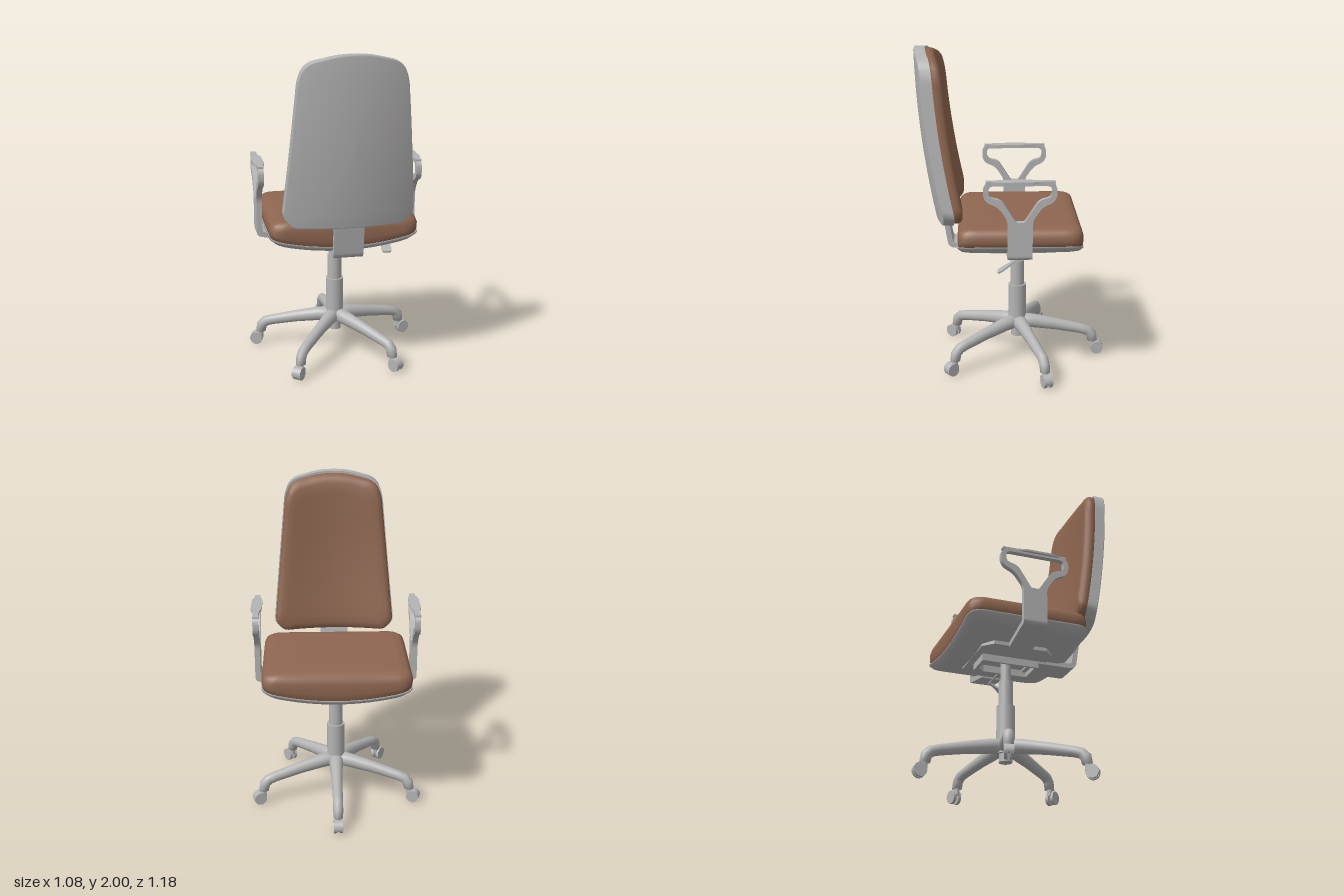
import * as THREE from 'three';

const grey = new THREE.MeshStandardMaterial({ color: 0xb4b4b4 });
grey.name = 'grey plastic';
const brown = new THREE.MeshStandardMaterial({ color: 0x8e6650 });
brown.name = 'brown upholstery';

function add(parent, name, geometry, material = grey) {
  const mesh = new THREE.Mesh(geometry, material);
  mesh.name = name;
  parent.add(mesh);
  return mesh;
}

// Polygon with corners [x, y, cut]; each corner is rounded over its cut length.
function roundedShape(corners, ShapeClass = THREE.Shape) {
  const shape = new ShapeClass();
  const n = corners.length;
  corners.forEach(([x, y, cut = 0], i) => {
    const p = new THREE.Vector2(x, y);
    const toward = (c) => new THREE.Vector2(c[0], c[1]).sub(p).setLength(cut).add(p);
    const a = toward(corners[(i + n - 1) % n]);
    const b = toward(corners[(i + 1) % n]);
    if (i === 0) shape.moveTo(a.x, a.y);
    else shape.lineTo(a.x, a.y);
    if (cut > 0) shape.quadraticCurveTo(x, y, b.x, b.y);
  });
  shape.closePath();
  return shape;
}

const extrude = (shape, depth) =>
  new THREE.ExtrudeGeometry(shape, { depth, bevelEnabled: false, curveSegments: 7 });

// Profile drawn in (z, y), extruded across x and centred on the given x.
const extrudeAcross = (shape, width, x = 0) =>
  extrude(shape, width).rotateY(-Math.PI / 2).translate(x + width / 2, 0, 0);

// Skin over equal rings of points, each ring counterclockwise about the path direction.
function loft(rings) {
  const n = rings[0].length;
  const index = [];
  for (let i = 0; i < rings.length - 1; i++) {
    for (let j = 0; j < n; j++) {
      const a = i * n + j, b = i * n + ((j + 1) % n);
      index.push(a, b, b + n, a, b + n, a + n);
    }
  }
  const geometry = new THREE.BufferGeometry();
  geometry.setAttribute('position', new THREE.Float32BufferAttribute(rings.flat(2), 3));
  geometry.setIndex(index);
  geometry.computeVertexNormals();
  return geometry;
}

function outline(corners, count) {
  return roundedShape(corners).getSpacedPoints(count).slice(0, count);
}

function buildSeat(chair) {
  const w = 0.455, d = 0.375, cz = -0.035, r = 0.085;
  // Drawn in (z, x) so that the rings run counterclockwise about +y.
  const pts = outline([[-d, -w, r], [d, -w, r], [d, w, r], [-d, w, r]], 96);
  // Layers are [scale, height, sag at the centre line].
  const rings = (layers) => layers.map(([s, y, sag]) => pts.map((p) => {
    const x = p.y * s;
    return [x, y - sag * (1 - (x / w) ** 2), cz + p.x * s];
  }));
  add(chair, 'seatShell', loft(rings([
    [0.001, 0.845, 0.065], [0.3, 0.845, 0.065], [0.6, 0.845, 0.065], [0.84, 0.847, 0.065],
    [0.94, 0.856, 0.065], [1, 0.876, 0.065], [1, 0.886, 0.065], [1, 0.886, 0.065], [0.95, 0.886, 0.065],
  ])));
  add(chair, 'seatCushion', loft(rings([
    [0.95, 0.882, 0.065], [0.985, 0.886, 0.065], [0.995, 0.91, 0.045], [0.995, 0.938, 0.015],
    [0.97, 0.967, 0.004], [0.92, 0.983, 0], [0.82, 0.99, 0], [0.5, 0.992, 0], [0.001, 0.992, 0],
  ])), brown);
}

function buildBackrest(chair) {
  const cy = 1.45;
  const half = [[0.33, 0.98, 0.02], [0.39, 1.045, 0.03], [0.312, 1.87, 0.05], [0.27, 1.955, 0.05], [0.08, 2, 0.06]];
  const corners = [...half, ...half.map(([x, y, r]) => [-x, y, r]).reverse()];
  const pts = outline(corners, 120);
  // Layers are [scale, depth]; the whole panel leans back and wraps forward at the sides.
  const rings = (layers) => layers.map(([s, depth]) => pts.map((p) => {
    const x = p.x * s, y = cy + (p.y - cy) * s;
    const t = (y - 0.98) / 1.02;
    return [x, y, 0.475 + 0.215 * t - 0.1 * t * t - 0.45 * x * x + depth];
  }));
  add(chair, 'backrestShell', loft(rings([
    [0.93, -0.068], [1, -0.068], [1, -0.068], [1, -0.004], [1, -0.004], [0.985, 0],
    [0.8, 0], [0.6, 0], [0.4, 0], [0.2, 0], [0.001, 0],
  ])));
  add(chair, 'backrestCushion', loft(rings([
    [0.001, -0.145], [0.2, -0.145], [0.4, -0.145], [0.6, -0.145], [0.78, -0.144], [0.88, -0.139],
    [0.94, -0.128], [0.97, -0.112], [0.982, -0.09], [0.975, -0.066], [0.92, -0.064],
  ])), brown);
}

function buildMechanism(chair) {
  // Strap joining the seat to the backrest
  add(chair, 'backSupport', extrudeAcross(roundedShape([
    [0.1, 0.765], [0.4, 0.765, 0.04], [0.447, 1.06], [0.415, 1.06], [0.373, 0.795, 0.02], [0.1, 0.795],
  ]), 0.18));

  // Eight-sided mounting plate
  const c = 0.06;
  const plate = extrude(roundedShape([
    [-0.25, -0.2 + c], [-0.25 + c, -0.2], [0.25 - c, -0.2], [0.25, -0.2 + c],
    [0.25, 0.25 - c], [0.25 - c, 0.25], [-0.25 + c, 0.25], [-0.25, 0.25 - c],
  ]), 0.022).rotateX(-Math.PI / 2).translate(0, 0.778, 0);
  add(chair, 'mountingPlate', plate);

  // Housing, open underneath
  const housing = roundedShape([[-0.09, -0.15], [0.09, -0.15], [0.09, 0.21], [-0.09, 0.21]]);
  housing.holes.push(roundedShape(
    [[-0.075, -0.13], [-0.075, 0.15], [-0.04, 0.19], [0.04, 0.19], [0.075, 0.15], [0.075, -0.13]], THREE.Path));
  add(chair, 'mechanismHousing', extrude(housing, 0.045).rotateX(-Math.PI / 2).translate(0, 0.735, 0));

  // Height lever with its sloping paddle
  const rod = new THREE.CylinderGeometry(0.007, 0.007, 0.29, 10).rotateZ(Math.PI / 2);
  add(chair, 'leverRod', rod.translate(0.175, 0.757, -0.03));
  const paddle = extrude(roundedShape([
    [-0.009, 0], [-0.012, -0.04, 0.01], [-0.032, -0.115, 0.02], [-0.028, -0.158, 0.015],
    [0.028, -0.158, 0.015], [0.032, -0.115, 0.02], [0.012, -0.04, 0.01], [0.009, 0],
  ]), 0.012);
  const lever = add(chair, 'leverPaddle', paddle);
  lever.position.set(0.315, 0.765, -0.035);
  lever.rotation.x = -0.98;
}

function buildArm(chair, side, name) {
  const arm = new THREE.Group();
  arm.name = name;
  chair.add(arm);
  // Upright with a rounded loop handle
  const frame = roundedShape([
    [-0.1, 0.85], [0.045, 0.85], [0.045, 1.06, 0.03], [0.1, 1.145, 0.04], [0.185, 1.175, 0.05],
    [0.185, 1.29, 0.055], [-0.24, 1.29, 0.055], [-0.24, 1.175, 0.05], [-0.16, 1.145, 0.04], [-0.1, 1.06, 0.03],
  ]);
  frame.holes.push(roundedShape([
    [-0.052, 1.05, 0.01], [-0.138, 1.183, 0.03], [-0.21, 1.2, 0.03], [-0.21, 1.268, 0.03],
    [0.155, 1.268, 0.03], [0.155, 1.2, 0.03], [0.08, 1.183, 0.03], [-0.005, 1.05, 0.01],
  ], THREE.Path));
  add(arm, 'armFrame', extrudeAcross(frame, 0.034, side * 0.485));

  // Wider pad along the top
  const pad = roundedShape([
    [-0.017, -0.17], [0.017, -0.17], [0.017, -0.13, 0.02], [0.033, -0.08, 0.02], [0.033, 0.09, 0.02],
    [0.017, 0.14, 0.02], [0.017, 0.23], [-0.017, 0.23], [-0.017, 0.14, 0.02], [-0.033, 0.09, 0.02],
    [-0.033, -0.08, 0.02], [-0.017, -0.13, 0.02],
  ]);
  add(arm, 'armPad', extrude(pad, 0.012).rotateX(-Math.PI / 2).translate(side * 0.485, 1.282, 0));

  // Strap folding in beneath the seat
  const strap = roundedShape([
    [0.468, 0.87], [0.502, 0.87], [0.502, 0.822, 0.025], [0.25, 0.768], [0.25, 0.8], [0.468, 0.848, 0.01],
  ].map(([x, y, r]) => [side * x, y, r]));
  add(arm, 'armStrap', extrude(strap, 0.145).translate(0, 0, -0.1));
}

function buildBase(chair) {
  const base = new THREE.Group();
  base.name = 'base';
  base.position.z = -0.03;
  chair.add(base);

  // Gas column: [radius, bottom, top]
  [['columnFoot', 0.04, 0.14, 0.24], ['columnSleeve', 0.056, 0.19, 0.49],
    ['columnMiddle', 0.044, 0.49, 0.65], ['columnTop', 0.033, 0.65, 0.78]].forEach(([name, r, y0, y1]) => {
    add(base, name, new THREE.CylinderGeometry(r, r, y1 - y0, 28).translate(0, (y0 + y1) / 2, 0));
  });

  // Leg stations: [reach, height, half width, half thickness, path angle]
  const stations = [
    [0, 0.24, 0.002, 0.002, -0.15], [0, 0.24, 0.05, 0.047, -0.15], [0.1, 0.231, 0.042, 0.045, -0.17],
    [0.25, 0.206, 0.034, 0.038, -0.19], [0.41, 0.173, 0.031, 0.033, -0.25], [0.455, 0.16, 0.031, 0.034, -0.6],
    [0.482, 0.135, 0.031, 0.034, -1.15], [0.49, 0.09, 0.03, 0.032, -1.57], [0.49, 0.09, 0.002, 0.002, -1.57],
  ];
  const rings = stations.map(([z, y, hw, hh, tilt]) => Array.from({ length: 18 }, (_, j) => {
    const a = (j / 18) * Math.PI * 2;
    const v = Math.sin(a) * hh;
    return [Math.cos(a) * hw, y + v * Math.cos(tilt), z - v * Math.sin(tilt)];
  }));
  const legGeometry = loft(rings);
  const wheel = new THREE.CylinderGeometry(0.038, 0.038, 0.02, 24).rotateZ(Math.PI / 2);
  const hood = new THREE.CylinderGeometry(0.041, 0.041, 0.056, 20, 1, false, 0, Math.PI)
    .rotateZ(Math.PI / 2);
  const stem = new THREE.CylinderGeometry(0.018, 0.018, 0.06, 14);

  for (let i = 0; i < 5; i++) {
    const leg = new THREE.Group();
    leg.name = 'leg' + (i + 1);
    leg.rotation.y = Math.PI + (i * Math.PI * 2) / 5;
    base.add(leg);
    add(leg, 'legArm', legGeometry);
    add(leg, 'casterStem', stem).position.set(0, 0.08, 0.492);
    for (const s of [-1, 1]) add(leg, 'casterWheel', wheel).position.set(s * 0.017, 0.038, 0.518);
    const cover = add(leg, 'casterHood', hood);
    cover.position.set(0, 0.042, 0.518);
    cover.rotation.x = 0.35;
  }
}

export function createModel() {
  const chair = new THREE.Group();
  chair.name = 'officeChair';
  buildSeat(chair);
  buildBackrest(chair);
  buildMechanism(chair);
  buildArm(chair, 1, 'leftArm');
  buildArm(chair, -1, 'rightArm');
  buildBase(chair);
  return chair;
}
